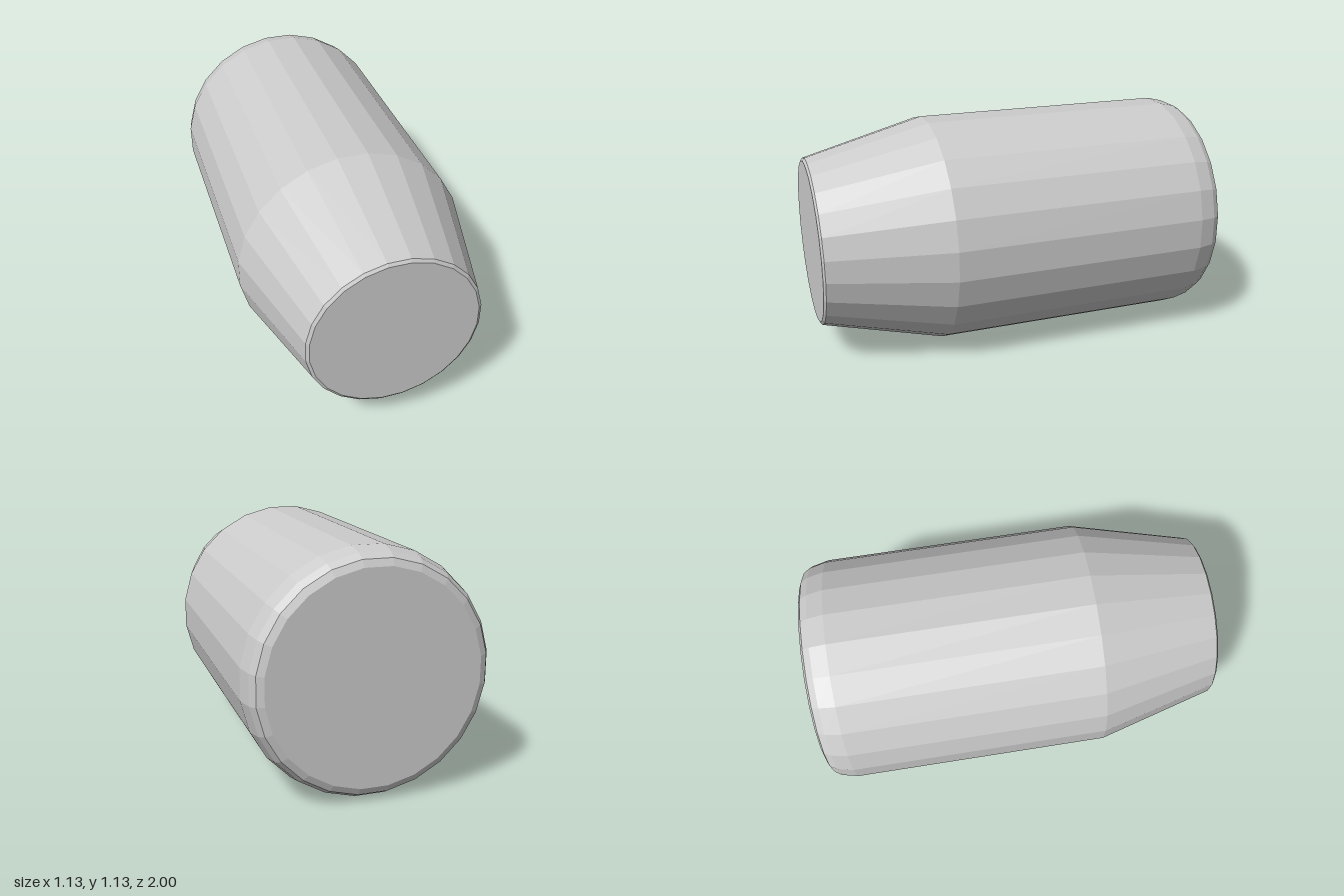
import * as THREE from 'three';

const SIDES = 24;
const RADIUS = 0.568; // corner radius, flats touch the ground

export function createModel() {
  const group = new THREE.Group();
  group.name = 'taperedPlug';
  const material = new THREE.MeshStandardMaterial({ color: 0xcccccc, flatShading: true });

  // Profile from the back cap to the front cap: [radius, z]
  const profile = [
    [0, -1],
    [0.495, -1],
    [0.528, -0.985],
    [0.55, -0.95],
    [RADIUS, -0.87],
    [RADIUS, 0.4],
    [0.415, 0.99],
    [0.4, 1],
    [0, 1],
  ].map(([r, z]) => new THREE.Vector2(r, z));

  // Half-step start puts flat facets at the top, bottom and sides
  const geometry = new THREE.LatheGeometry(profile, SIDES, Math.PI / SIDES);
  geometry.rotateX(Math.PI / 2);

  // The nose leans slightly towards the model's left
  const pos = geometry.attributes.position;
  for (let i = 0; i < pos.count; i++) {
    const t = Math.max(0, (pos.getZ(i) - 0.4) / 0.6);
    pos.setX(i, pos.getX(i) + 0.007 * t);
  }
  geometry.computeVertexNormals();

  const body = new THREE.Mesh(geometry, material);
  body.name = 'body';
  body.position.y = RADIUS * Math.cos(Math.PI / SIDES);
  group.add(body);
  return group;
}
